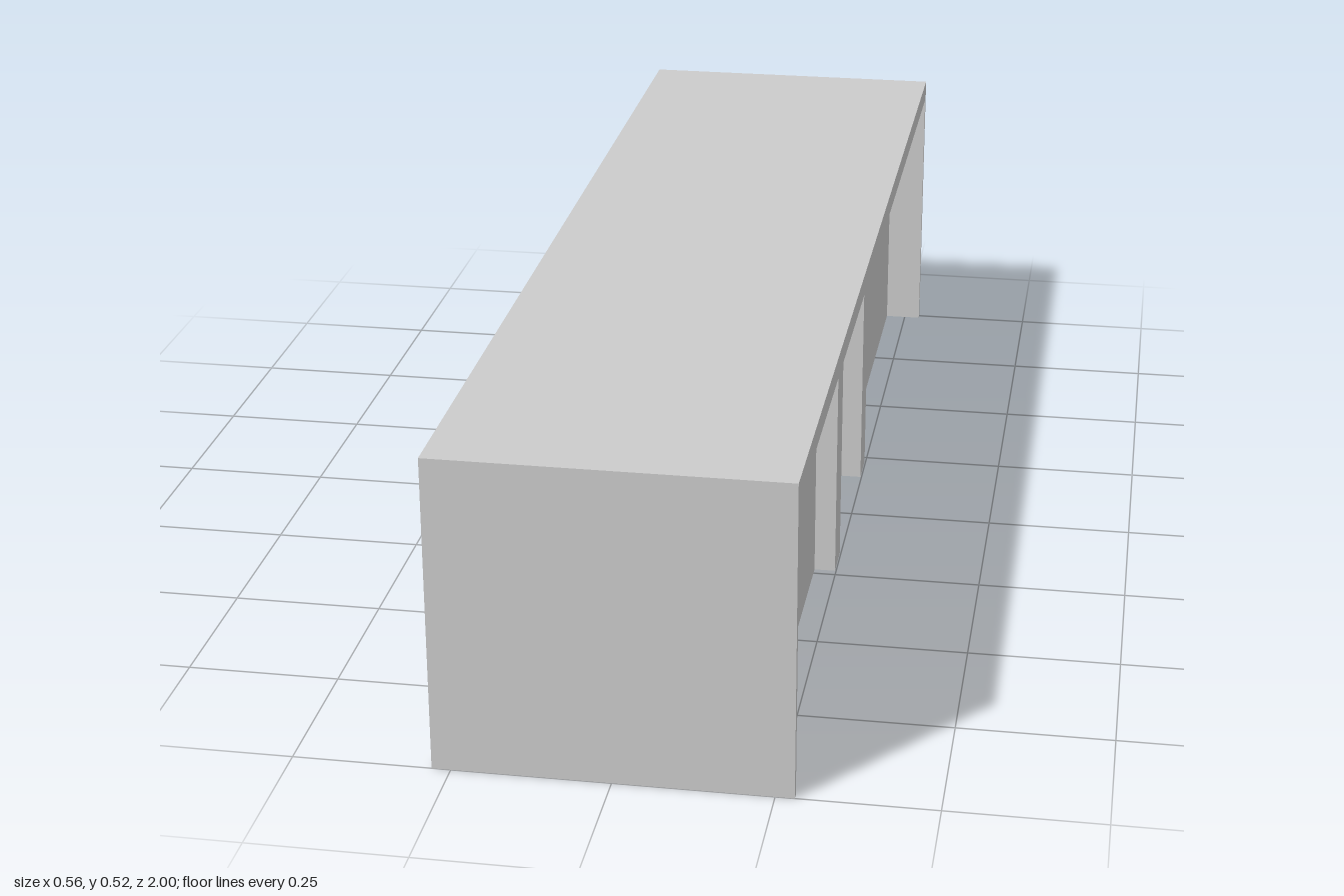
import * as THREE from 'three';

const W = 0.28, H = 0.52;      // half width, total height
const ROOF = 0.484;            // underside of the roof
const SIDE = 0.212;            // half width of the inset body
const END = 0.988;             // inner face of the end plates
const POCKET = 0.045;          // x of the pocket's inner wall

const material = new THREE.MeshStandardMaterial({ color: 0xcccccc, flatShading: true });

// Box given by its minimum and maximum on each axis
function box(name, [x0, x1], [y0, y1], [z0, z1]) {
  const mesh = new THREE.Mesh(new THREE.BoxGeometry(x1 - x0, y1 - y0, z1 - z0), material);
  mesh.position.set((x0 + x1) / 2, (y0 + y1) / 2, (z0 + z1) / 2);
  mesh.name = name;
  return mesh;
}

export function createModel() {
  const model = new THREE.Group();
  model.name = 'container';

  // Roof slab and full-width end plates
  model.add(box('roof', [-W, W], [ROOF, H], [-1, 1]));
  model.add(box('frontPlate', [-W, W], [0, ROOF], [END, 1]));
  model.add(box('backPlate', [-W, W], [0, ROOF], [-1, -END]));

  // Inset body: plain part, then the side wall with a pocket open at the bottom
  model.add(box('body', [-SIDE, POCKET], [0, ROOF], [-END, END]));
  const profile = new THREE.Shape([
    [-END, 0], [-0.157, 0], [-0.157, 0.12], [0.055, 0.12],
    [0.055, 0], [END, 0], [END, ROOF], [-END, ROOF],
  ].map(([a, y]) => new THREE.Vector2(a, y)));
  const geometry = new THREE.ExtrudeGeometry(profile, { depth: SIDE - POCKET, bevelEnabled: false });
  geometry.rotateY(Math.PI / 2);
  const notchedSide = new THREE.Mesh(geometry, material);
  notchedSide.position.x = POCKET;
  notchedSide.name = 'notchedSide';
  model.add(notchedSide);

  // Two vertical ribs on each side
  for (const [z0, z1] of [[0.165, 0.235], [-0.231, -0.161]]) {
    model.add(box('leftRib', [SIDE, 0.248], [0, ROOF], [z0, z1]));
    model.add(box('rightRib', [-0.248, -SIDE], [0, ROOF], [z0, z1]));
  }
  return model;
}
